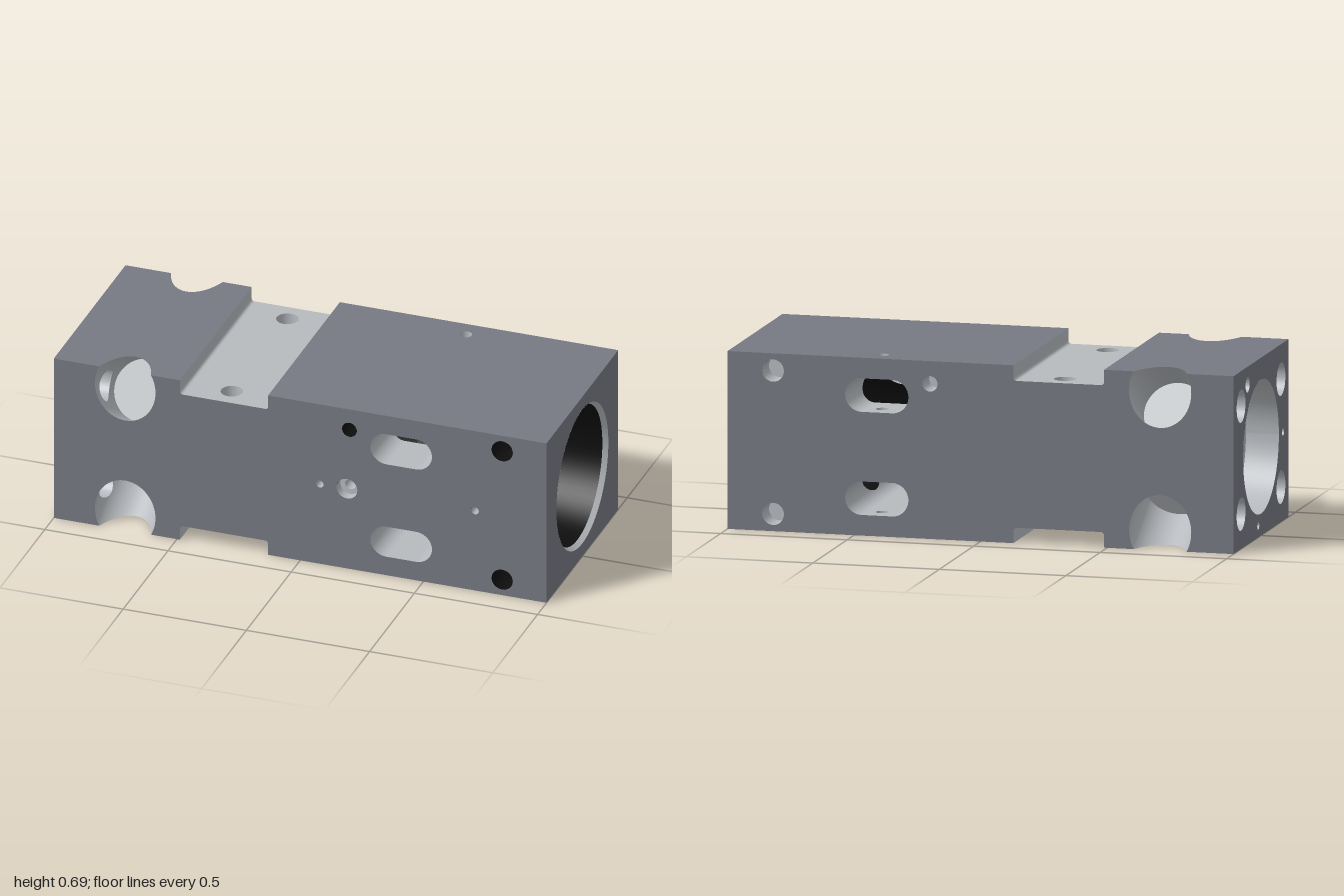
import * as THREE from 'three';

const H = 0.345, D = 0.4;                       // half height, half depth of the block
const paint = color => new THREE.MeshStandardMaterial({ color, side: THREE.DoubleSide });
const coat = paint(0x767982);                   // coated outer faces
const cutGrey = paint(0xb6babe);                // bare machined cuts
const black = paint(0x0e0e0e);                  // bore and threads
const V = (x, y, z) => new THREE.Vector3(x, y, z);

function add(parent, name, geo, mat) {
  const m = new THREE.Mesh(geo, mat);
  m.name = name;
  parent.add(m);
  return m;
}

// Surface ruled between two curves a(u) and b(u), u from 0 to 1
function ruled(parent, name, n, a, b, mat = cutGrey) {
  const pos = [], idx = [];
  for (let i = 0; i <= n; i++) {
    pos.push(...a(i / n).toArray(), ...b(i / n).toArray());
    if (i < n) { const k = 2 * i; idx.push(k, k + 1, k + 2, k + 1, k + 3, k + 2); }
  }
  const g = new THREE.BufferGeometry();
  g.setAttribute('position', new THREE.Float32BufferAttribute(pos, 3));
  g.setIndex(idx);
  g.computeVertexNormals();
  return add(parent, name, g, mat);
}

// Flat panel with round or slotted holes [x, y, r, halfLength]; map places the 2D point
function panel(parent, name, pts, holes, map, mat = coat) {
  const s = new THREE.Shape(pts.map(p => new THREE.Vector2(...p)));
  for (const [x, y, r, l = 0] of holes) {
    const h = new THREE.Path();
    h.absarc(x + l, y, r, -Math.PI / 2, Math.PI / 2);
    h.absarc(x - l, y, r, Math.PI / 2, Math.PI * 1.5);
    s.holes.push(h);
  }
  const g = new THREE.ShapeGeometry(s, 24), p = g.attributes.position;
  for (let i = 0; i < p.count; i++) p.setXYZ(i, ...map(p.getX(i), p.getY(i)));
  g.computeVertexNormals();
  return add(parent, name, g, mat);
}
const rect = (x0, x1, y0, y1) => [[x0, y0], [x1, y0], [x1, y1], [x0, y1]];
const mirrored = half => [...half, ...half.map(([x, y]) => [x, -y]).reverse()];

// Drilled hole from pos along dir, with a floor when capped (inner > 0 leaves a ring)
function hole(parent, name, pos, dir, r, depth, { mat = cutGrey, cap = true, inner = 0 } = {}) {
  const g = new THREE.Group();
  g.name = name;
  add(g, 'holeWall', new THREE.CylinderGeometry(r, r, depth, 32, 1, true), mat).position.y = depth / 2;
  if (cap) {
    const f = inner ? new THREE.RingGeometry(inner, r, 32) : new THREE.CircleGeometry(r, 32);
    add(g, 'holeFloor', f.rotateX(Math.PI / 2).translate(0, depth, 0), mat);
  }
  g.position.copy(pos);
  g.quaternion.setFromUnitVectors(V(0, 1, 0), dir);
  parent.add(g);
}

// Slanted corner pocket: cylinder in the yz plane, t runs along its axis
const R = 0.123, PX = -0.71, FLOOR = 0.184, HT = 0.057, HR = 0.0643;
const K = Math.asin(HR / R);
const at = (phi, t) => {
  const s = R * Math.sin(phi);
  return V(PX + R * Math.cos(phi), 0.2375 + 0.872 * s - 0.49 * t, 0.34 - 0.49 * s - 0.872 * t);
};
const openT = phi => {
  const p = at(phi, 0);
  return Math.max((p.z - D) / 0.872, (p.y - H) / 0.49);
};
const lerp = (a, b, u) => a + (b - a) * u;
const arc = (a, b, n) => Array.from({ length: n + 1 }, (_, i) => {
  const f = lerp(a, b, i / n);
  return at(f, openT(f));
});

function pocket(g) {
  const wall = (a, b, t0, t1, n) => ruled(g, 'pocketWall', n,
    u => at(lerp(a, b, u), t0(lerp(a, b, u))), u => at(lerp(a, b, u), t1(lerp(a, b, u))));
  const w = f => Math.sqrt(Math.max(0, HR * HR - (R * Math.sin(f)) ** 2));
  wall(K, Math.PI - K, openT, () => FLOOR, 24);
  wall(Math.PI + K, 2 * Math.PI + K, openT, () => FLOOR, 36);
  wall(Math.PI - K, Math.PI + K, openT, f => HT - w(f), 32);
  wall(Math.PI - K, Math.PI + K, f => HT + w(f), () => FLOOR, 32);
  const c = at(0, FLOOR).setX(PX);
  ruled(g, 'pocketFloor', 48, () => c, u => at(u * 2 * Math.PI, FLOOR));
  // bolt hole from the end face into the pocket
  const ring = (u, end) => {
    const s = HR * Math.cos(u * 2 * Math.PI), t = HT + HR * Math.sin(u * 2 * Math.PI);
    const p = at(Math.PI - Math.asin(s / R), t);
    return end ? p.setX(-1) : p;
  };
  ruled(g, 'boltHole', 40, u => ring(u, true), u => ring(u, false));
}

// Slot from the side face into the main bore; its top passes just above the bore
const BR = 0.24, SY = 0.2, SR = 0.065, SX = 0.41, SL = 0.06, BX0 = 0.25, BX1 = 0.57;
const boreZ = y => Math.sqrt(Math.max(0, BR * BR - y * y));
function slot(g, drilled) {
  const a0 = Math.asin((SY - SR) / BR);
  const boreAt = (a, x) => V(x, BR * Math.sin(a), BR * Math.cos(a));
  for (const e of [-1, 1]) {
    const p = (u, inner) => {
      const a = (u - 0.5) * Math.PI, y = SY + SR * Math.sin(a);
      return V(SX + e * (SL + SR * Math.cos(a)), y, inner ? boreZ(y) : D);
    };
    ruled(g, 'slotEnd', 32, u => p(u, false), u => p(u, true));
    const y = SY + e * SR;
    panel(g, 'slotSide', rect(SX - SL, SX + SL, boreZ(y), D), drilled ? [[SX, 0.32, 0.025]] : [], (x, z) => [x, y, z], cutGrey);
    // bore wall beside the slot
    const angle = u => lerp(a0, Math.PI / 2, u * u);
    const edge = a => SX + e * (SL + Math.sqrt(Math.max(0, SR * SR - (BR * Math.sin(a) - SY) ** 2)));
    ruled(g, 'boreWall', 24, u => boreAt(angle(u), e < 0 ? BX0 : BX1), u => boreAt(angle(u), edge(angle(u))), black);
  }
  // bore wall below the slot
  ruled(g, 'boreWall', 10, u => boreAt(a0 * u, BX0), u => boreAt(a0 * u, BX1), black);
  if (drilled) {
    hole(g, 'pinHole', V(SX, H, 0.32), V(0, -1, 0), 0.025, H - SY - SR, { cap: false });
    hole(g, 'pinHole', V(SX, SY - SR, 0.32), V(0, -1, 0), 0.025, SY - SR, { cap: false });
  }
}

export function createModel() {
  const root = new THREE.Group(), body = new THREE.Group();
  root.name = 'machinedBlock';
  body.name = 'block';
  body.position.y = H;
  root.add(body);

  // Corner pockets and slots, mirrored to all four edges
  for (const sy of [-1, 1]) for (const sz of [-1, 1]) {
    const g = new THREE.Group();
    g.name = 'cornerFeatures';
    g.scale.set(1, sy, sz);
    pocket(g);
    slot(g, sz < 0);
    body.add(g);
  }

  // Front and back faces; the groove has small fillets of radius F at its floor
  const G = 0.285, G0 = -0.488, G1 = -0.13, F = 0.012;
  const fillet = (x, e) => [0, 1, 2, 3, 4].map(i => {
    const a = i * Math.PI / 8;
    return [x + e * F * (1 - Math.cos(a)), G + F * (1 - Math.sin(a))];
  });
  const side = mirrored([[-1, H], ...arc(Math.PI - K, 2 * Math.PI + K, 36).map(p => [p.x, p.y]),
    [G0, H], ...fillet(G0, 1), ...fillet(G1, -1).reverse(), [G1, H], [1, H]]);
  const slots = [[SX, SY, SR, SL], [SX, -SY, SR, SL]];
  const drills = [[0.82, 0.278, 0.043], [0.82, -0.278, 0.043], [0.2, 0.257, 0.03]];
  const small = [[0.08, 0, 0.015], [0.71, 0, 0.015]];
  const port = [0.19, 0, 0.042];
  panel(body, 'frontFace', side, [...slots, ...drills, ...small, port], (x, y) => [x, y, D]);
  panel(body, 'backFace', side, [...slots, ...drills], (x, y) => [x, y, -D]);
  for (const [x, y, r] of drills) {
    hole(body, 'threadedHole', V(x, y, D), V(0, 0, -1), r, 0.1, { mat: black });
    hole(body, 'sideHole', V(x, y, -D), V(0, 0, 1), r, 0.1);
  }
  for (const [x, y, r] of small) hole(body, 'smallHole', V(x, y, D), V(0, 0, -1), r, 0.06);
  hole(body, 'portCounterbore', V(port[0], port[1], D), V(0, 0, -1), port[2], 0.04, { inner: 0.022 });
  hole(body, 'port', V(port[0], port[1], D - 0.04), V(0, 0, -1), 0.022, 0.06);

  // Top and bottom faces with the cross groove
  const outline = mirrored([[-1, D], ...arc(Math.PI - K, K, 24).map(p => [p.x, p.z]), [G0, D]]);
  for (const s of [-1, 1]) {
    const n = s > 0 ? 'top' : 'bottom', pin = [-0.78, -0.04, 0.013];
    panel(body, n + 'EndFace', outline, s < 0 ? [pin] : [], (x, z) => [x, s * H, z]);
    panel(body, n + 'MainFace', rect(G1, 1, -D, D), [[SX, -0.32, 0.025]], (x, z) => [x, s * H, z]);
    panel(body, n + 'GrooveFloor', rect(G0 + F, G1 - F, -D, D), [[-0.31, 0.31, 0.043], [-0.31, -0.31, 0.043]],
      (x, z) => [x, s * G, z], cutGrey);
    for (const [x, e] of [[G0, 1], [G1, -1]]) {
      panel(body, n + 'GrooveWall', rect(-D, D, G + F, H), [], (z, y) => [x, s * y, z], cutGrey);
      const f = (u, z) => V(fillet(x, e)[Math.round(u * 4)][0], s * fillet(x, e)[Math.round(u * 4)][1], z);
      ruled(body, n + 'GrooveFillet', 4, u => f(u, -D), u => f(u, D));
    }
    for (const z of [-0.31, 0.31]) hole(body, 'grooveHole', V(-0.31, s * G, z), V(0, -s, 0), 0.043, 0.15);
    if (s < 0) hole(body, 'smallHole', V(pin[0], -H, pin[1]), V(0, 1, 0), pin[2], 0.05);
  }

  // End faces
  const endRect = rect(-D, D, -H, H), c = at(0, HT);
  const bolts = [-1, 1].flatMap(a => [-1, 1].map(b => [a * c.z, b * c.y, HR]));
  const pins = [[-0.195, 0.275, 0.03], [-0.04, -0.3, 0.015], [0.32, 0, 0.015]];
  panel(body, 'rightEnd', endRect, [[0, 0, 0.29]], (z, y) => [1, y, z]);
  panel(body, 'leftEnd', endRect, [[0, 0, 0.26], ...bolts, ...pins], (z, y) => [-1, y, z]);
  for (const [z, y, r] of pins) hole(body, 'endHole', V(-1, y, z), V(1, 0, 0), r, 0.1);

  // Tapered and stepped bore as [x, radius] pairs; the slotted stretch is made with the slots
  const bore = (name, pts, mat) => pts.slice(1).forEach(([x1, r1], i) => {
    const [x0, r0] = pts[i];
    const p = (u, x, r) => V(x, r * Math.sin(u * 2 * Math.PI), r * Math.cos(u * 2 * Math.PI));
    ruled(body, name, 64, u => p(u, x0, r0), u => p(u, x1, r1), mat);
  });
  bore('boreChamfer', [[1, 0.29], [0.98, 0.278]], cutGrey);
  bore('boreMouth', [[0.98, 0.278], [BX1, BR]], black);
  bore('boreThroat', [[BX0, BR], [0.05, 0.195], [-0.06, 0.195], [-0.06, 0.154]], black);
  bore('leftBore', [[-0.06, 0.154], [-0.72, 0.154], [-0.72, 0.215], [-0.87, 0.215], [-0.87, 0.26], [-1, 0.26]], cutGrey);
  return root;
}
